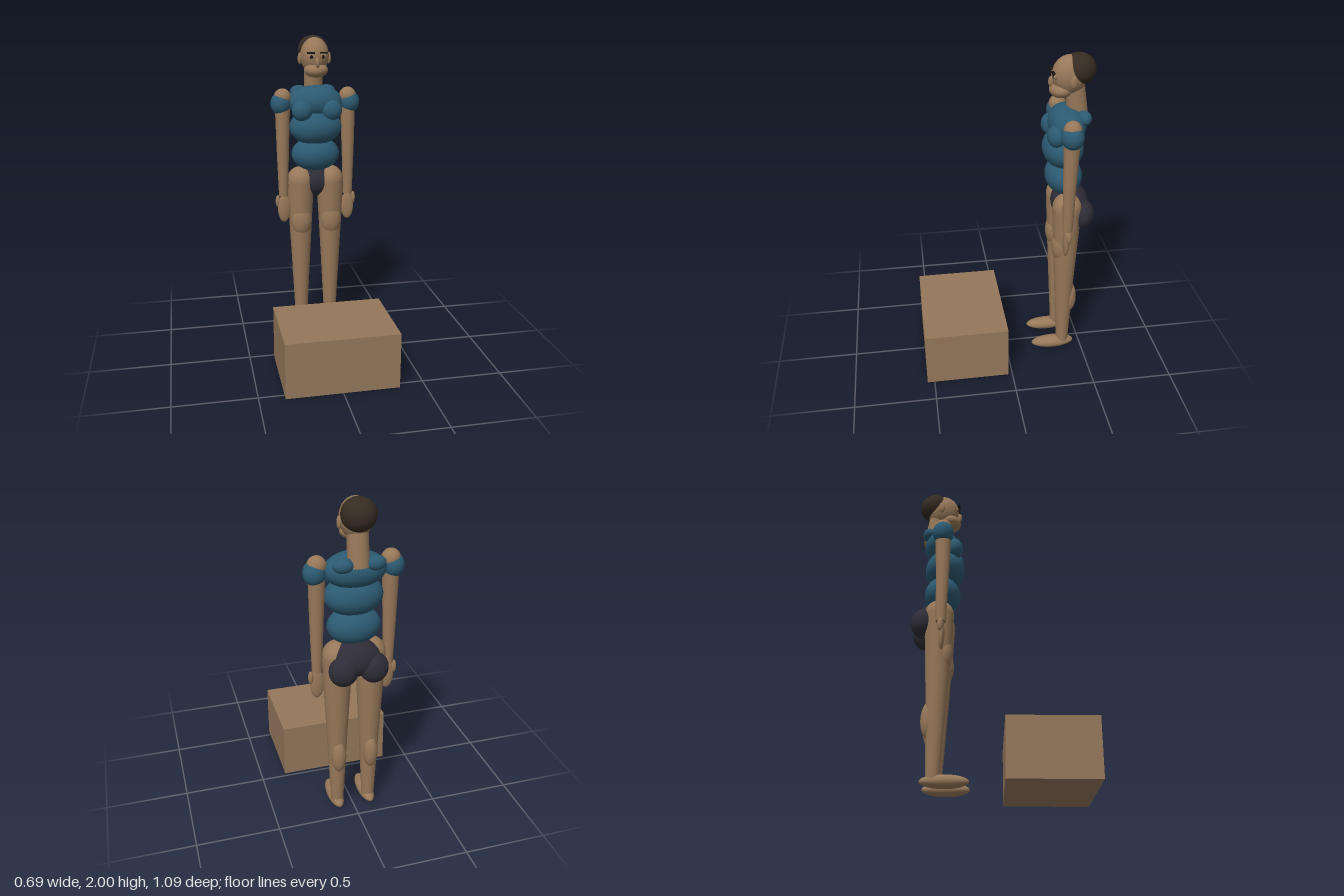
import * as THREE from 'three';

const mat = (name, color) => {
  const m = new THREE.MeshStandardMaterial({ color });
  m.name = name;
  return m;
};

export function createModel() {
  const skin = mat('skin', 0x977859);
  const wood = mat('wood', 0x94775b);
  const shirt = mat('shirt', 0x2c5a72);
  const shorts = mat('shorts', 0x2e2d37);
  const hair = mat('hair', 0x352b21);
  const dark = mat('dark eyes', 0x1b1613);

  const model = new THREE.Group();
  model.name = 'figureWithBox';
  const ball = new THREE.SphereGeometry(1, 36, 24);

  const add = (name, geo, material, pos) => {
    const mesh = new THREE.Mesh(geo, material);
    mesh.name = name;
    mesh.position.set(...pos);
    model.add(mesh);
    return mesh;
  };
  // Ellipsoid from centre and radii
  const blob = (name, material, pos, radii) => {
    const mesh = add(name, ball, material, pos);
    mesh.scale.set(...radii);
    return mesh;
  };
  // Tapered limb between two points
  const limb = (name, material, a, b, ra, rb) => {
    const p = new THREE.Vector3(...a), q = new THREE.Vector3(...b);
    const dir = p.clone().sub(q);
    const mesh = add(name, new THREE.CylinderGeometry(ra, rb, dir.length(), 32), material,
      p.clone().add(q).multiplyScalar(0.5).toArray());
    mesh.quaternion.setFromUnitVectors(new THREE.Vector3(0, 1, 0), dir.normalize());
    return mesh;
  };

  // Box in front
  add('box', new THREE.BoxGeometry(0.69, 0.35, 0.52), wood, [0, 0.175, 0.285]);

  // Torso
  blob('abdomen', shirt, [0, 1.245, -0.36], [0.157, 0.112, 0.112]);
  blob('ribcage', shirt, [0, 1.425, -0.35], [0.17, 0.118, 0.123]);
  blob('chest', shirt, [0, 1.585, -0.37], [0.18, 0.105, 0.112]);
  blob('pelvis', shorts, [0, 1.06, -0.405], [0.15, 0.112, 0.115]);

  // Head
  limb('neck', skin, [0, 1.82, -0.405], [0, 1.62, -0.432], 0.058, 0.062);
  blob('head', skin, [0, 1.875, -0.375], [0.091, 0.115, 0.104]);
  blob('jaw', skin, [0, 1.79, -0.325], [0.076, 0.048, 0.068]);
  blob('hair', hair, [0, 1.907, -0.426], [0.097, 0.093, 0.1]);
  blob('nose', skin, [0, 1.84, -0.268], [0.014, 0.032, 0.018]);

  for (const s of [-1, 1]) {
    const side = s > 0 ? 'left' : 'right';

    // Face details
    blob(side + 'Ear', skin, [s * 0.094, 1.858, -0.38], [0.013, 0.037, 0.021]);
    blob(side + 'Eye', skin, [s * 0.037, 1.877, -0.282], [0.018, 0.014, 0.012]);
    blob(side + 'Pupil', dark, [s * 0.037, 1.877, -0.271], [0.009, 0.011, 0.005]);
    add(side + 'Brow', new THREE.BoxGeometry(0.048, 0.009, 0.016), dark, [s * 0.04, 1.901, -0.27]);

    // Chest and upper back muscles
    blob(side + 'Pectoral', shirt, [s * 0.095, 1.54, -0.29], [0.067, 0.067, 0.056]);
    blob(side + 'UpperBack', shirt, [s * 0.09, 1.64, -0.45], [0.06, 0.042, 0.042]);

    // Arm
    blob(side + 'Shoulder', skin, [s * 0.212, 1.62, -0.356], [0.055, 0.056, 0.053]);
    blob(side + 'Sleeve', shirt, [s * 0.224, 1.58, -0.356], [0.065, 0.072, 0.065]);
    limb(side + 'UpperArm', skin, [s * 0.212, 1.62, -0.356], [s * 0.215, 1.28, -0.352], 0.05, 0.04);
    blob(side + 'Elbow', skin, [s * 0.215, 1.28, -0.352], [0.04, 0.04, 0.04]);
    limb(side + 'Forearm', skin, [s * 0.215, 1.28, -0.352], [s * 0.215, 0.97, -0.352], 0.04, 0.03);
    blob(side + 'Hand', skin, [s * 0.213, 0.885, -0.345], [0.042, 0.093, 0.018]);
    blob(side + 'Thumb', skin, [s * 0.253, 0.935, -0.353], [0.015, 0.041, 0.017]);

    // Leg
    blob(side + 'Buttock', shorts, [s * 0.09, 1.012, -0.465], [0.085, 0.092, 0.076]);
    blob(side + 'Hip', skin, [s * 0.1, 1.065, -0.37], [0.088, 0.094, 0.09]);
    limb(side + 'Thigh', skin, [s * 0.1, 1.06, -0.37], [s * 0.1, 0.55, -0.37], 0.09, 0.063);
    blob(side + 'ThighMuscle', skin, [s * 0.1, 0.8, -0.335], [0.068, 0.108, 0.053]);
    blob(side + 'Knee', skin, [s * 0.1, 0.55, -0.37], [0.063, 0.063, 0.063]);
    limb(side + 'Shin', skin, [s * 0.1, 0.55, -0.37], [s * 0.1, 0.04, -0.375], 0.063, 0.038);
    blob(side + 'Calf', skin, [s * 0.1, 0.395, -0.41], [0.045, 0.11, 0.046]);
    blob(side + 'Foot', skin, [s * 0.1, 0.042, -0.31], [0.047, 0.04, 0.14]);
  }
  return model;
}
